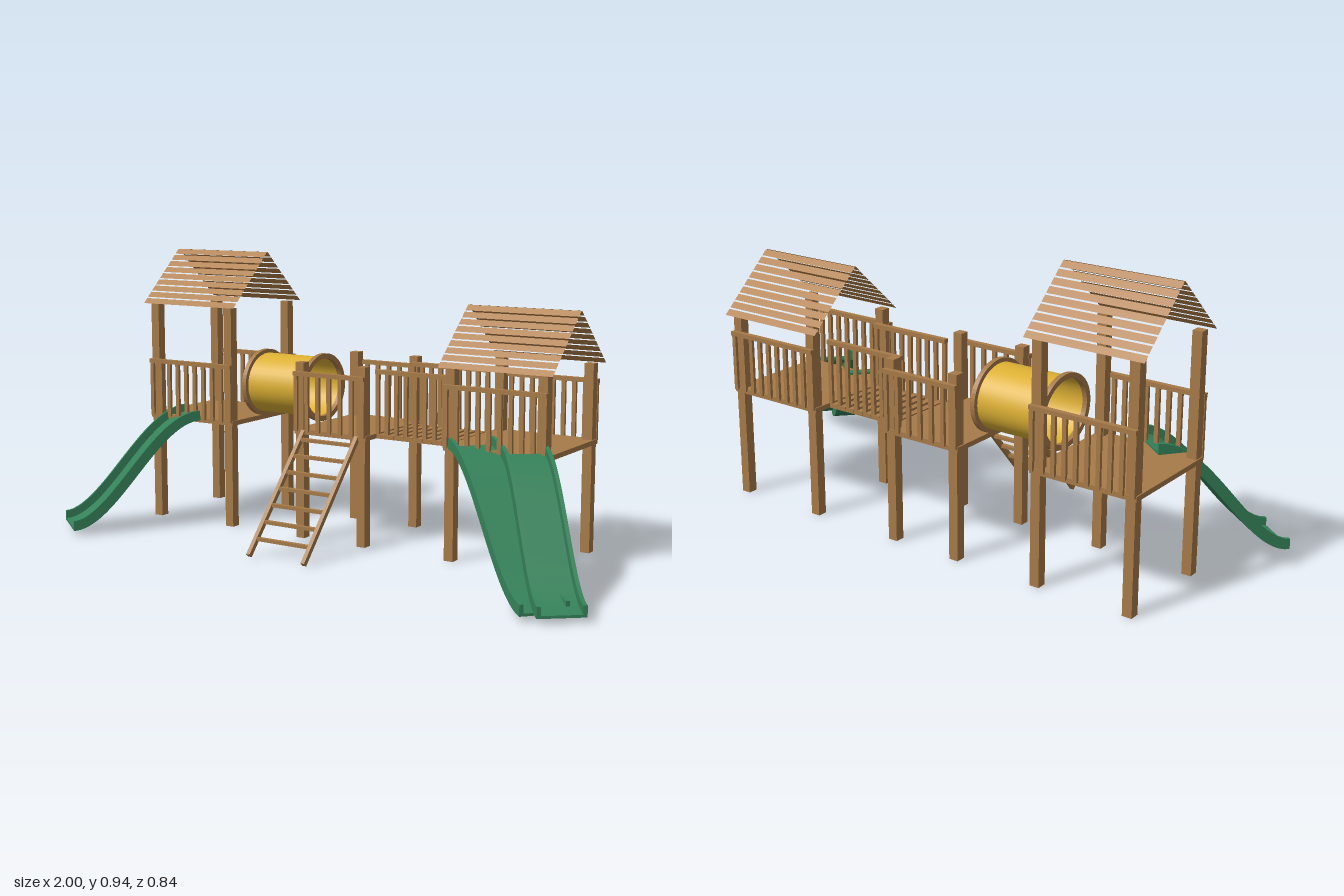
import * as THREE from 'three';

const mat = (name, color, side = THREE.FrontSide) => {
  const m = new THREE.MeshStandardMaterial({ color, side });
  m.name = name;
  return m;
};

export function createModel() {
  const wood = mat('wood', 0xa67a48);
  const roofWood = mat('roof wood', 0xb07f4a, THREE.DoubleSide);
  const yellow = mat('yellow plastic', 0xdcb034, THREE.DoubleSide);
  const green = mat('green plastic', 0x35825a, THREE.DoubleSide);
  green.flatShading = false;
  const root = new THREE.Group();
  root.name = 'playground';

  const group = (name, parent = root) => {
    const g = new THREE.Group();
    g.name = name;
    parent.add(g);
    return g;
  };
  const add = (parent, name, geo, material) => {
    const m = new THREE.Mesh(geo, material);
    m.name = name;
    parent.add(m);
    return m;
  };
  // Box given by its extents on each axis
  const box = (parent, name, [x0, x1], [y0, y1], [z0, z1]) => {
    const m = add(parent, name, new THREE.BoxGeometry(x1 - x0, y1 - y0, z1 - z0), wood);
    m.position.set((x0 + x1) / 2, (y0 + y1) / 2, (z0 + z1) / 2);
    return m;
  };

  // Railing along x: balusters with a top rail
  const railing = (parent, name, x0, x1, z, count, yTop) => {
    const g = group(name, parent);
    const w = 0.014;
    for (let i = 0; i < count; i++) {
      const x = x0 + w / 2 + ((x1 - x0 - w) * i) / (count - 1);
      box(g, 'baluster', [x - w / 2, x + w / 2], [0.365, yTop - 0.012], [z - 0.005, z + 0.005]);
    }
    box(g, 'topRail', [x0, x1], [yTop - 0.014, yTop], [z - 0.009, z + 0.009]);
  };

  // Gabled roof of thin spaced planks
  const Z_MID = -0.225;
  const roof = (parent, x, y0) => {
    const g = group('roof', parent);
    const half = 0.2, rise = 0.185, n = 9;
    const len = Math.hypot(half, rise), angle = Math.atan2(rise, half);
    for (const s of [-1, 1]) {
      const slope = group('roofSlope', g);
      for (let i = 0; i < n; i++) {
        const t = (i + 0.5) / n;
        const geo = new THREE.PlaneGeometry(0.392, (len / n) * 0.8);
        geo.rotateX(-Math.PI / 2 + angle);
        if (s < 0) geo.rotateY(Math.PI);
        add(slope, 'roofPlank', geo, roofWood)
          .position.set(x, y0 + rise * t, Z_MID + s * half * (1 - t));
      }
    }
  };

  // Platform on four posts, railed at front and back
  const tower = (name, xa, xb, postTop, count, roofBase) => {
    const g = group(name);
    const p = 0.016;
    for (const x of [xa, xb])
      for (const z of [-0.057, -0.392])
        box(g, 'post', [x - p, x + p], [0, postTop], [z - p, z + p]);
    box(g, 'floor', [xa - 0.02, xb + 0.02], [0.355, 0.371], [-0.411, -0.038]);
    railing(g, 'frontRailing', xa - 0.018, xb + 0.018, -0.036, count, 0.565);
    railing(g, 'backRailing', xa - 0.018, xb + 0.018, -0.413, count, 0.565);
    if (roofBase) roof(g, (xa + xb) / 2, roofBase);
  };
  tower('rightTower', -0.82, -0.503, 0.758, 10, 0.758);
  tower('middleTower', -0.205, 0.035, 0.595, 7, 0);
  tower('leftTower', 0.363, 0.68, 0.617, 10, 0.615);

  // Plank bridge
  const bridge = group('bridge');
  for (let i = 0; i < 8; i++) {
    const x = 0.075 + i * 0.0355;
    box(bridge, 'bridgePlank', [x - 0.011, x + 0.011], [0.357, 0.37], [-0.345, -0.105]);
  }
  for (const z of [-0.338, -0.112]) {
    railing(bridge, 'bridgeRailing', 0.05, 0.347, z, 9, 0.582);
    box(bridge, 'bridgeBeam', [0.05, 0.347], [0.355, 0.366], [z - 0.006, z + 0.006]);
  }

  // Oval crawl tunnel with a collar at each end
  const tunnel = group('tunnel');
  const tube = new THREE.CylinderGeometry(0.103, 0.103, 0.24, 40, 1, true);
  tube.rotateZ(Math.PI / 2);
  tube.scale(1, 1, 1.11);
  add(tunnel, 'tunnelTube', tube, yellow).position.set(-0.358, 0.487, Z_MID);
  const ring = new THREE.Shape().absellipse(0, 0, 0.129, 0.116, 0, Math.PI * 2);
  ring.holes.push(new THREE.Path().absellipse(0, 0, 0.11, 0.099, 0, Math.PI * 2));
  for (const x of [-0.484, -0.244]) {
    const geo = new THREE.ExtrudeGeometry(ring, { depth: 0.016, bevelEnabled: false, curveSegments: 28 });
    geo.rotateY(Math.PI / 2);
    add(tunnel, 'tunnelCollar', geo, wood).position.set(x, 0.487, Z_MID);
  }

  // Ladder leaning on the middle platform
  const ladder = group('ladder');
  const foot = { y: 0.012, z: 0.265 }, head = { y: 0.36, z: -0.04 };
  const run = Math.hypot(head.y - foot.y, head.z - foot.z);
  const lean = Math.atan2(head.z - foot.z, head.y - foot.y);
  for (const x of [-0.19, 0.02]) {
    const rail = add(ladder, 'ladderRail', new THREE.BoxGeometry(0.014, run + 0.01, 0.016), wood);
    rail.position.set(x, (foot.y + head.y) / 2, (foot.z + head.z) / 2);
    rail.rotation.x = lean;
  }
  for (let i = 0; i < 7; i++) {
    const y = 0.055 + i * 0.0475;
    const t = (y - foot.y) / (head.y - foot.y);
    const rung = add(ladder, 'rung', new THREE.BoxGeometry(0.2, 0.011, 0.015), wood);
    rung.position.set(-0.085, y, foot.z + (head.z - foot.z) * t);
  }

  // S-curved slide: a U-shaped channel swept from (x0,z0) down to (x1,z1)
  const slide = (name, x0, z0, x1, z1, w) => {
    const h = w / 2, t = 0.012;
    const section = [[-h, 0], [h, 0], [h, 0.034], [h - t, 0.034], [h - t, 0.008],
      [-h + t, 0.008], [-h + t, 0.034], [-h, 0.034]];
    const dx = x1 - x0, dz = z1 - z0, len = Math.hypot(dx, dz);
    const ux = dx / len, uz = dz / len, steps = 24, drop = 0.355;
    const place = (i, [a, b]) => {
      const s = i / steps;
      const y = 0.371 - drop * s * s * (3 - 2 * s);
      const slope = (drop * 6 * s * (1 - s)) / len;
      const k = b / Math.hypot(1, slope);
      const d = s * len + k * slope;
      return [x0 + ux * d + uz * a, y + k, z0 + uz * d - ux * a];
    };
    const pos = [], idx = [], n = section.length;
    // Each side of the section gets its own strip, so its edges stay sharp
    for (let j = 0; j < n; j++) {
      const base = pos.length / 3;
      for (let i = 0; i <= steps; i++)
        pos.push(...place(i, section[j]), ...place(i, section[(j + 1) % n]));
      for (let i = 0; i < steps; i++) {
        const a = base + i * 2;
        idx.push(a, a + 1, a + 2, a + 1, a + 3, a + 2);
      }
    }
    // End caps
    for (const i of [0, steps]) {
      const base = pos.length / 3;
      for (const q of section) pos.push(...place(i, q));
      for (const [a, b, c, d] of [[0, 1, 4, 5], [1, 2, 3, 4], [0, 5, 6, 7]]) {
        const f = [a, b, c, a, c, d].map((v) => v + base);
        idx.push(...(i ? f : f.reverse()));
      }
    }
    const geo = new THREE.BufferGeometry();
    geo.setAttribute('position', new THREE.Float32BufferAttribute(pos, 3));
    geo.setIndex(idx);
    geo.computeVertexNormals();
    add(root, name, geo, green);
  };
  slide('rightSlide', -0.659, -0.05, -0.931, 0.299, 0.178);
  slide('innerLeftSlide', 0.435, -0.05, 0.89, 0.362, 0.15);
  slide('outerLeftSlide', 0.635, -0.012, 0.944, 0.366, 0.143);

  return root;
}
